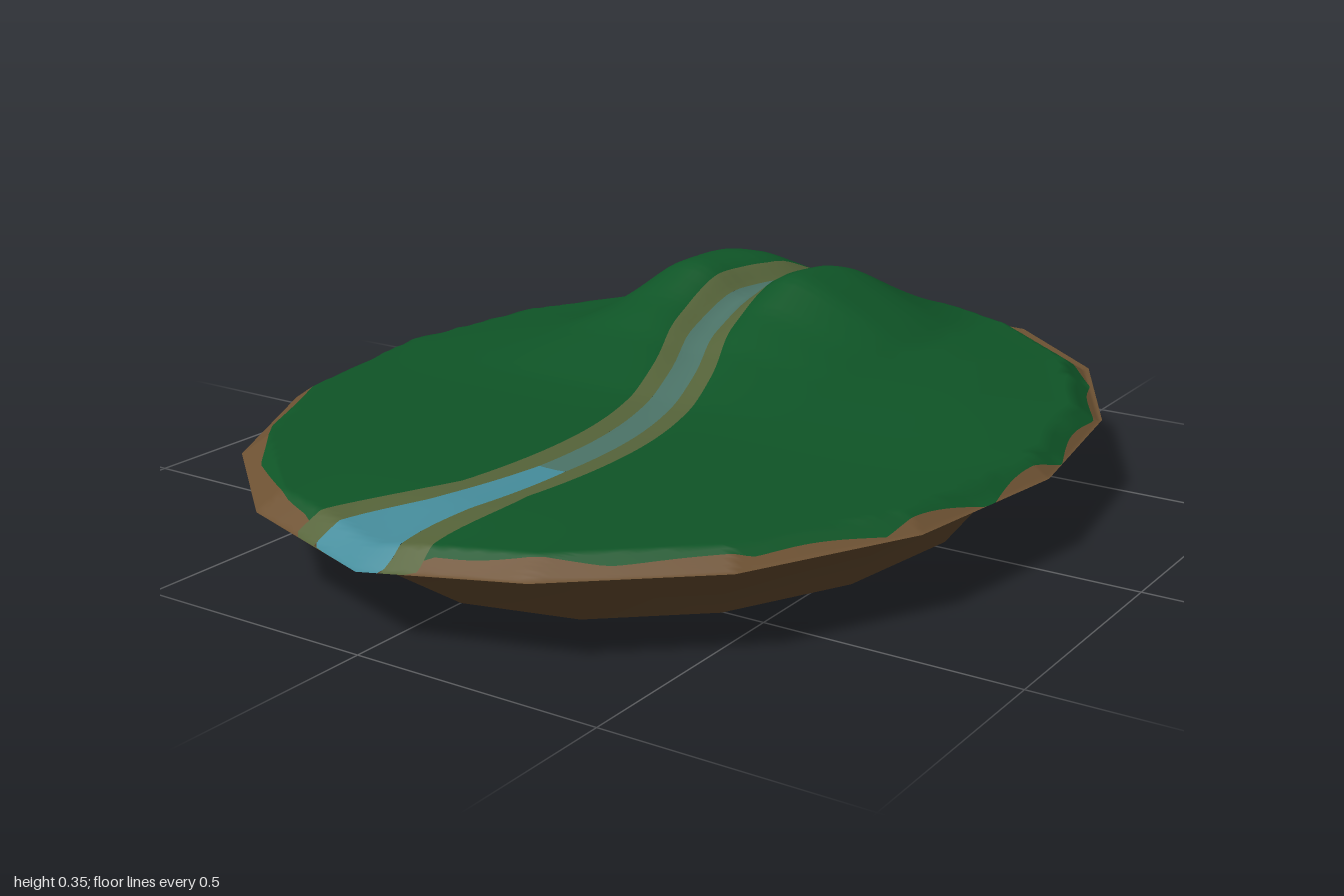
import * as THREE from 'three';

const SIDES = 16, A = 0.795, B = 1.025, CZ = -0.03;
const { clamp, lerp, smoothstep } = THREE.MathUtils;

// piecewise linear lookup in [[key, value], ...]
function table(points, t) {
  if (t <= points[0][0]) return points[0][1];
  for (let i = 1; i < points.length; i++) {
    const [k0, v0] = points[i - 1], [k1, v1] = points[i];
    if (t <= k1) return lerp(v0, v1, (t - k0) / (k1 - k0));
  }
  return points[points.length - 1][1];
}

// corners of the faceted island outline, from back round by +x to front
function outline(k, scale = 1) {
  const t = (k / SIDES) * Math.PI * 2;
  const z = CZ - B * scale * Math.cos(t);
  return [A * scale * Math.sin(t), Math.max(z, -1)];
}
const halfOutline = Array.from({ length: SIDES / 2 + 1 }, (_, k) => outline(k).reverse());
const rimX = z => Math.max(0, table(halfOutline, z));

// river course and widths along z
const course = new THREE.CatmullRomCurve3([
  [0, -1], [-0.02, -0.9], [-0.11, -0.7], [-0.17, -0.5], [-0.15, -0.3], [-0.07, -0.1],
  [-0.005, 0.1], [0.035, 0.3], [0.04, 0.5], [0.015, 0.7], [-0.035, 0.88], [-0.04, 1],
].map(([x, z]) => new THREE.Vector3(x, 0, z)));
const coursePoints = course.getPoints(60).map(p => [p.z, p.x]);
const riverX = z => table(coursePoints, z);
const waterWidth = z => table([[-1, 0.06], [-0.85, 0.045], [-0.7, 0.03], [0.5, 0.03], [0.75, 0.045], [0.95, 0.085]], z);
const bankWidth = z => table([[-1, 0.12], [-0.85, 0.1], [-0.65, 0.072], [0.65, 0.075], [0.95, 0.145]], z);

// scalloped edge of the grass
function grassX(side, z) {
  const v = z - CZ;
  const b = v > 0 ? 0.97 : side > 0 ? 0.975 : 0.92;
  const s = clamp(v / b, -1, 1);
  const scallop = 1 - 0.03 * Math.abs(Math.sin(Math.asin(s) * 11 + side));
  return (side > 0 ? 0.785 : 0.768) * Math.sqrt(1 - s * s) * scallop;
}

// 1 on the outline, smaller inside
function gauge(x, z) {
  const u = x / A, v = (z - CZ) / (z < CZ ? 0.99 : B);
  const step = (Math.PI * 2) / SIDES;
  const mid = (Math.floor(Math.atan2(v, u) / step) + 0.5) * step;
  return Math.min(1, (u * Math.cos(mid) + v * Math.sin(mid)) / Math.cos(step / 2));
}

// ground height: gentle dome, hill cut by the river, sloping lip, front outlet
const hillZ = [[-0.98, 0], [-0.7, 0.132], [-0.64, 0.14], [-0.5, 0.135], [-0.36, 0.075], [-0.2, 0.03], [0.05, 0]];
const hillX = [[-0.52, 0], [-0.37, 0.84], [-0.32, 0.96], [-0.2, 0.97], [-0.04, 1], [0.04, 0.78], [0.26, 0]];
function softened(points, t) {
  return (table(points, t - 0.025) + 2 * table(points, t) + table(points, t + 0.025)) / 4;
}
function height(x, z) {
  const r = gauge(x, z);
  const d = (x - riverX(z)) / 0.07;
  const cut = Math.exp(-d * d);
  const dome = 0.018 * smoothstep(-z, -0.2, 0.3) * smoothstep(1 - r, 0, 0.4);
  const inner = 0.203 + dome + softened(hillZ, z) * softened(hillX, x) * (1 - 0.5 * cut) - 0.006 * cut;
  const y = lerp(inner, 0.17, clamp((r - 0.943) / 0.057, 0, 1));
  return y - 0.02 * Math.max(0, 1 - Math.abs(x) / 0.304) * smoothstep(z, 0.7, 0.99);
}

// draped strip of ground between two edge curves
function strip(name, left, right, material, columns, z0 = -1, z1 = B + CZ, rows = 180) {
  const pos = [], nor = [], index = [], e = 0.006;
  for (let i = 0; i <= rows; i++) {
    const z = lerp(z0, z1, i / rows), r = rimX(z);
    const a = clamp(left(z), -r, r), b = Math.max(a, clamp(right(z), -r, r));
    for (let j = 0; j <= columns; j++) {
      const x = lerp(a, b, j / columns);
      pos.push(x, height(x, z), z);
      const n = new THREE.Vector3(height(x - e, z) - height(x + e, z), 2 * e, height(x, z - e) - height(x, z + e)).normalize();
      nor.push(n.x, n.y, n.z);
      if (i < rows && j < columns) {
        const p = i * (columns + 1) + j, q = p + columns + 1;
        index.push(p, q, p + 1, p + 1, q, q + 1);
      }
    }
  }
  const g = new THREE.BufferGeometry();
  g.setAttribute('position', new THREE.Float32BufferAttribute(pos, 3));
  g.setAttribute('normal', new THREE.Float32BufferAttribute(nor, 3));
  g.setIndex(index);
  const mesh = new THREE.Mesh(g, material);
  mesh.name = name;
  return mesh;
}

// earth wall: rim, underside of the lip, open foot
function earthWall(material) {
  const pos = [], index = [];
  const rings = [[1, 0.17, 0.15, 0.995], [0.868, 0.135, 0.115, 0.9], [0.737, 0, 0, 0.726]];
  rings.forEach(([scale, y, frontY, frontZ], r) => {
    for (let k = 0; k < SIDES; k++) {
      const [x, z] = outline(k, scale), front = k === SIDES / 2;
      pos.push(x, front ? frontY : y, front ? frontZ : z);
      if (r < 2) {
        const a = r * SIDES + k, b = r * SIDES + ((k + 1) % SIDES);
        index.push(a, b, a + SIDES, b, b + SIDES, a + SIDES);
      }
    }
  });
  const g = new THREE.BufferGeometry();
  g.setAttribute('position', new THREE.Float32BufferAttribute(pos, 3));
  g.setIndex(index);
  g.computeVertexNormals();
  const mesh = new THREE.Mesh(g, material);
  mesh.name = 'earthWall';
  return mesh;
}

export function createModel() {
  const mat = (name, color) => {
    const m = new THREE.MeshStandardMaterial({ color, side: THREE.DoubleSide });
    m.name = name;
    return m;
  };
  const earth = mat('earth', 0x6e5233), grass = mat('grass', 0x0f5527), bank = mat('bank', 0x56643a);
  const shallow = mat('shallowWater', 0x4c7468), water = mat('water', 0x468d9c);

  // edge curves from -x to +x
  const bankL = z => riverX(z) - bankWidth(z), bankR = z => riverX(z) + bankWidth(z);
  const waterL = z => riverX(z) - waterWidth(z), waterR = z => riverX(z) + waterWidth(z);
  const grassL = z => Math.min(-grassX(-1, z), bankL(z)), grassR = z => Math.max(grassX(1, z), bankR(z));

  const island = new THREE.Group();
  island.name = 'island';
  island.add(
    earthWall(earth),
    strip('earthEdgeRight', z => -rimX(z), grassL, earth, 6),
    strip('grassRight', grassL, bankL, grass, 30),
    strip('bankRight', bankL, waterL, bank, 3),
    strip('bankLeft', waterR, bankR, bank, 3),
    strip('grassLeft', bankR, grassR, grass, 30),
    strip('earthEdgeLeft', grassR, rimX, earth, 6),
    strip('waterBack', waterL, waterR, water, 4, -1, -0.8, 24),
    strip('waterMiddle', waterL, waterR, shallow, 4, -0.8, 0.5, 120),
    strip('waterFront', waterL, waterR, water, 4, 0.5, B + CZ, 50),
  );
  return island;
}
